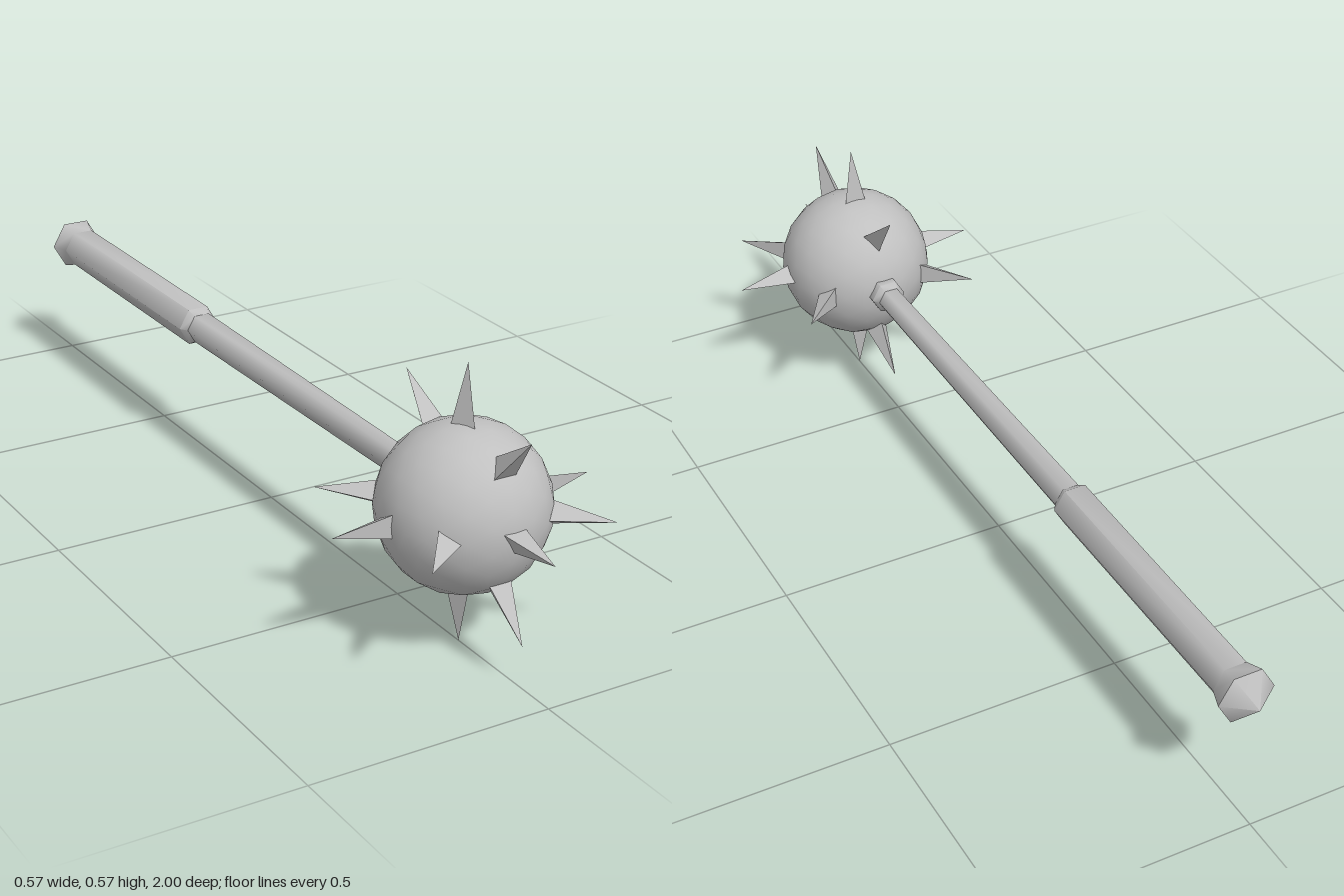
import * as THREE from 'three';
import { toCreasedNormals } from 'three/addons/utils/BufferGeometryUtils.js';

const AXIS_Y = 0.288, HEAD_Z = 0.713, HEAD_R = 0.168;

export function createModel() {
  const group = new THREE.Group();
  const steel = new THREE.MeshStandardMaterial({ color: 0xc0c0c0 });
  steel.name = 'steel';

  const add = (name, geometry, parent = group) => {
    const mesh = new THREE.Mesh(geometry, steel);
    mesh.name = name;
    parent.add(mesh);
    return mesh;
  };

  // Hexagonal handle parts: profile of [radius, z] running from front to back
  const hexPart = (name, profile) => {
    const points = profile.map(([r, z]) => new THREE.Vector2(r, -z));
    const geo = new THREE.LatheGeometry(points, 6, Math.PI / 2).rotateX(-Math.PI / 2);
    add(name, toCreasedNormals(geo, 1.1)).position.y = AXIS_Y;
  };
  hexPart('collar', [[0.026, 0.58], [0.039, 0.555], [0.039, 0.535], [0.029, 0.52]]);
  hexPart('shaft', [[0.029, 0.56], [0.035, -0.32]]);
  hexPart('grip', [[0.033, -0.305], [0.046, -0.325], [0.046, -0.92]]);
  hexPart('pommel', [[0.046, -0.915], [0.06, -0.955], [0, -1]]);

  // Ball head
  const head = new THREE.Group();
  head.name = 'head';
  head.position.set(0, AXIS_Y, HEAD_Z);
  group.add(head);
  add('ball', new THREE.IcosahedronGeometry(HEAD_R, 3), head);

  // Three-sided spikes: direction outward, and direction of the base's single corner
  const spikeGeo = toCreasedNormals(new THREE.ConeGeometry(0.0285, 0.125, 3), 0.6);
  const addSpike = (out, corner) => {
    const y = new THREE.Vector3(...out).normalize();
    const z = new THREE.Vector3(...corner).normalize();
    const x = new THREE.Vector3().crossVectors(y, z);
    const spike = add('spike', spikeGeo, head);
    spike.quaternion.setFromRotationMatrix(new THREE.Matrix4().makeBasis(x, y, z));
    spike.position.copy(y).multiplyScalar(0.2225);
  };
  addSpike([0, 0, 1], [0, -1, 0]);
  for (const s of [-1, 1]) {
    addSpike([0, s, 0], [0, 0, 1]);
    addSpike([s, 0, 0], [0, 0, -1]);
    for (const f of [-1, 1]) {
      addSpike([0, s, f], [0, s * f, -1]);
      addSpike([s, 0, f], [-s * f, 0, 1]);
    }
  }
  return group;
}
